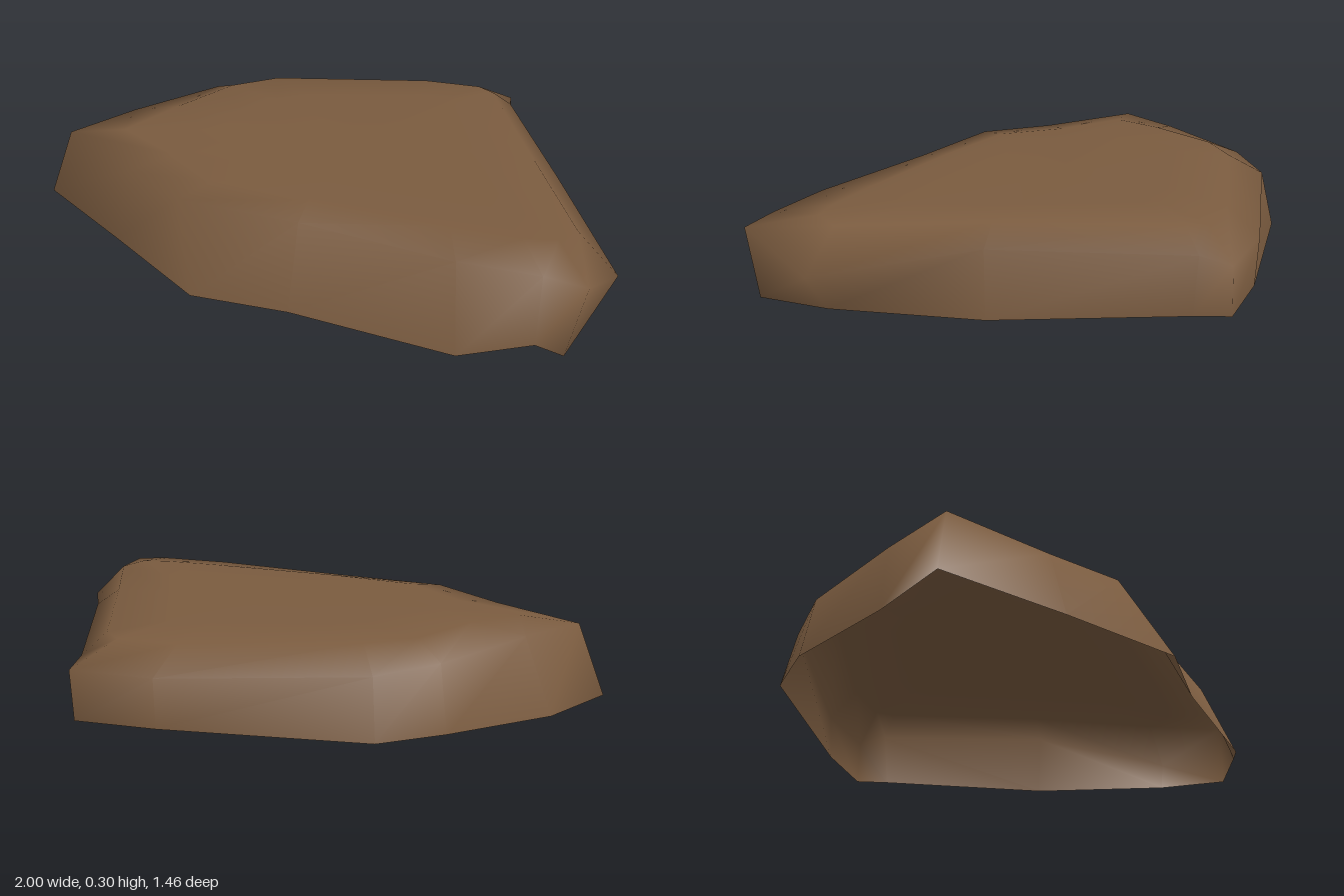
import * as THREE from 'three';

// Columns around the slab, each [x, y, z] at the open rim, shoulder and top edge
const COLUMNS = [
  [[-1, .02, .12], [-.91, .26, .11], [-.72, .28, .08]],
  [[-.63, .03, .385], [-.6, .26, .33], [-.48, .285, .22]],
  [[-.27, .03, .64], [-.36, .275, .49], [-.28, .295, .38]],
  [[.05, .03, .645], [.05, .28, .53], [.05, .3, .42]],
  [[.58, .03, .725], [.55, .28, .62], [.5, .3, .46]],
  [[.8, .09, .695], [.8, .28, .63], [.72, .3, .47]],
  [[.88, .03, .64], [.93, .27, .64], [.82, .3, .45]],
  [[.88, .03, .4], [1, .17, .39], [.87, .29, .37]],
  [[.78, .03, -.07], [.76, .24, -.06], [.68, .297, -.05]],
  [[.53, .035, -.62], [.52, .22, -.63], [.46, .285, -.57]],
  [[.5, .04, -.73], [.51, .2, -.73], [.4, .28, -.62]],
  [[.23, .04, -.725], [.23, .2, -.735], [.2, .28, -.62]],
  [[-.42, .03, -.62], [-.4, .22, -.58], [-.34, .29, -.47]],
  [[-.6, .03, -.47], [-.57, .24, -.44], [-.48, .29, -.36]],
  [[-.86, 0, -.1], [-.77, .26, -.12], [-.6, .295, -.12]],
];
const CENTRE = [.12, .3, -.05];

// Hollow stone shell: walls, bevelled shoulder and a nearly flat top
function stoneGeometry() {
  const n = COLUMNS.length, points = [], index = [];
  for (let ring = 0; ring < 3; ring++) for (const column of COLUMNS) points.push(...column[ring]);
  // Inner top ring, pulled towards the centre
  for (const [, , top] of COLUMNS) {
    points.push(...top.map((v, k) => k === 1 ? .3 : THREE.MathUtils.lerp(v, CENTRE[k], .35)));
  }
  points.push(...CENTRE);
  for (let i = 0; i < n; i++) {
    const j = (i + 1) % n;
    for (let ring = 0; ring < 3; ring++) {
      const a = ring * n + i, b = ring * n + j;
      index.push(a, b, b + n, a, b + n, a + n);
    }
    index.push(3 * n + i, 3 * n + j, 4 * n);
  }
  const geometry = new THREE.BufferGeometry();
  geometry.setAttribute('position', new THREE.Float32BufferAttribute(points, 3));
  geometry.setIndex(index);
  geometry.computeVertexNormals();
  return geometry;
}

export function createModel() {
  const brown = new THREE.MeshStandardMaterial({ color: 0x7a5b3f, side: THREE.DoubleSide });
  brown.name = 'earth brown';
  const stone = new THREE.Mesh(stoneGeometry(), brown);
  stone.name = 'flatStone';
  const group = new THREE.Group();
  group.name = 'flatRock';
  group.add(stone);
  return group;
}
